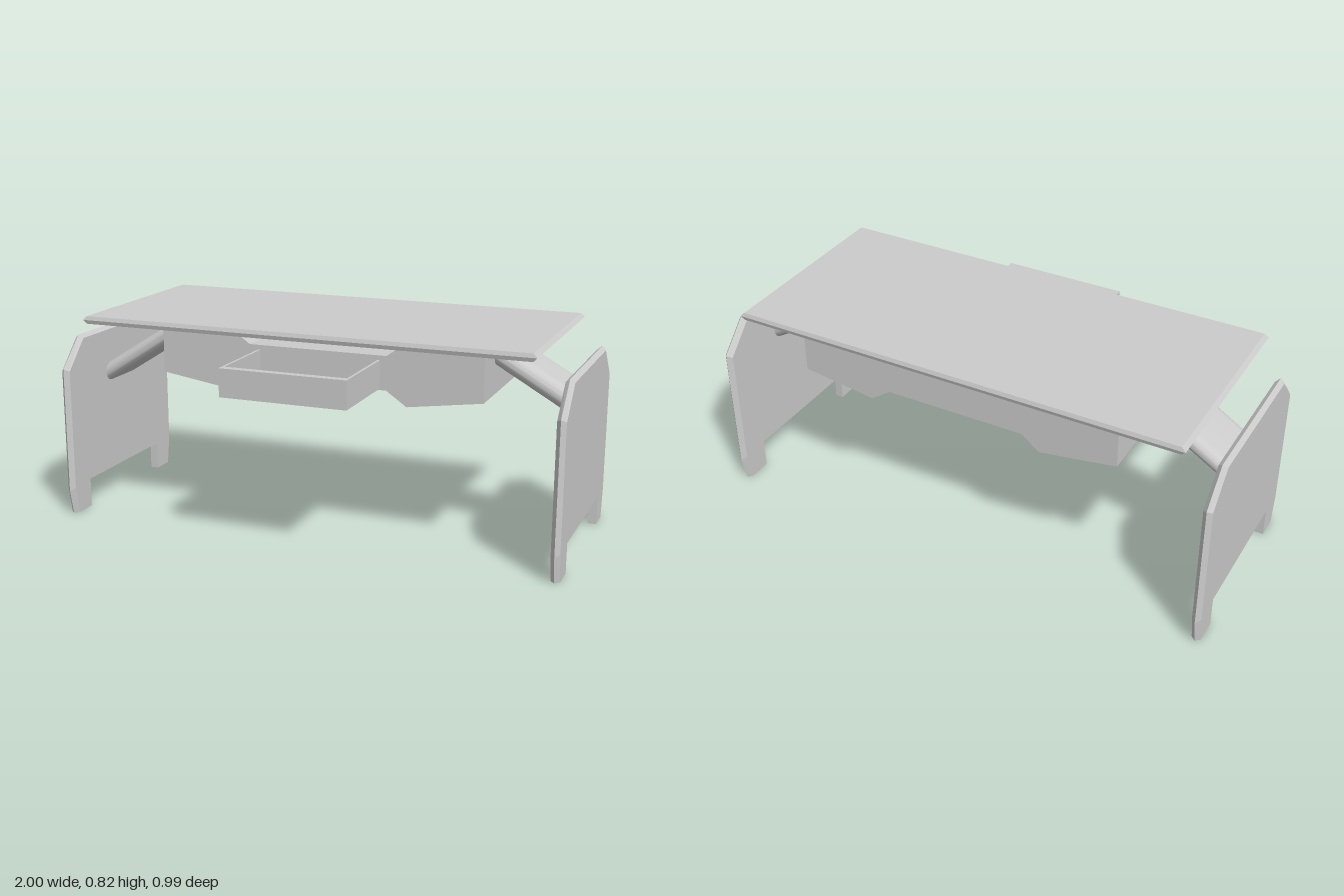
import * as THREE from 'three';
import { toCreasedNormals } from 'three/addons/utils/BufferGeometryUtils.js';

const material = new THREE.MeshStandardMaterial({ color: 0xcccccc });

function add(parent, name, geometry, x = 0, y = 0, z = 0) {
  const mesh = new THREE.Mesh(geometry, material);
  mesh.name = name;
  mesh.position.set(x, y, z);
  parent.add(mesh);
  return mesh;
}

// Flat plate in the xy plane with a ridge edge: the widest outline lies at
// mid thickness, the smaller face outline on both sides.
function ridgedPlate(ridge, face, thickness) {
  const contour = face.map(([x, y]) => new THREE.Vector2(x, y));
  if (THREE.ShapeUtils.isClockWise(contour)) {
    contour.reverse();
    ridge = [...ridge].reverse();
    face = [...face].reverse();
  }
  const n = face.length, h = thickness / 2;
  const positions = [], index = [];
  [[face, -h], [ridge, 0], [face, h]].forEach(([ring, w]) =>
    ring.forEach(([x, y]) => positions.push(x, y, w)));
  for (let r = 0; r < 2; r++) {
    for (let i = 0; i < n; i++) {
      const j = (i + 1) % n, a = r * n + i, b = r * n + j;
      index.push(a, b, b + n, a, b + n, a + n);
    }
  }
  for (const [a, b, c] of THREE.ShapeUtils.triangulateShape(contour, [])) {
    index.push(a + 2 * n, b + 2 * n, c + 2 * n, c, b, a);
  }
  const geometry = new THREE.BufferGeometry();
  geometry.setAttribute('position', new THREE.Float32BufferAttribute(positions, 3));
  geometry.setIndex(index);
  return toCreasedNormals(geometry, 0.1);
}

// Flattened round arm running outwards along +x and sloping down
function slopedArm(length, drop, width, height) {
  const r = height / 2, s = width / 2 - r;
  const section = new THREE.Shape();
  section.absarc(s, 0, r, -Math.PI / 2, Math.PI / 2, false);
  section.absarc(-s, 0, r, Math.PI / 2, Math.PI * 1.5, false);
  section.closePath();
  const geometry = new THREE.ExtrudeGeometry(section, { depth: length, bevelEnabled: false, curveSegments: 14 });
  geometry.rotateY(Math.PI / 2);
  const p = geometry.attributes.position;
  for (let i = 0; i < p.count; i++) p.setY(i, p.getY(i) - drop * p.getX(i) / length);
  return toCreasedNormals(geometry, 0.6);
}

export function createModel() {
  const desk = new THREE.Group();
  desk.name = 'desk';

  // Table top
  const rect = (x, z) => [[-x, -z], [x, -z], [x, z], [-x, z]];
  const top = ridgedPlate(rect(0.89, 0.395), rect(0.875, 0.39), 0.03);
  top.rotateX(-Math.PI / 2);
  add(desk, 'tableTop', top, 0, 0.802, -0.09);

  // Storage body under the top, with two deep ends and a slim middle
  const outline = [
    [-0.62, 0.787], [-0.62, 0.59], [-0.32, 0.545], [-0.25, 0.6], [0.3, 0.6], [0.38, 0.545],
    [0.67, 0.587], [0.67, 0.787], [0.38, 0.787], [0.3, 0.73], [-0.25, 0.73], [-0.33, 0.787],
  ].map(([x, y]) => new THREE.Vector2(x, y));
  const body = new THREE.ExtrudeGeometry(new THREE.Shape(outline), { depth: 0.56, bevelEnabled: false });
  add(desk, 'storageBody', body, 0, 0, -0.4);

  // Open drawer pulled out of the body
  const drawer = new THREE.Group();
  drawer.name = 'drawer';
  desk.add(drawer);
  const midX = 0.03, width = 0.49, low = 0.605, high = 0.712, back = 0.1, front = 0.495;
  const midY = (low + high) / 2, midZ = (back + front) / 2, depth = front - back;
  add(drawer, 'drawerFloor', new THREE.BoxGeometry(width - 0.02, 0.015, depth - 0.03), midX, low + 0.0075, midZ - 0.015);
  add(drawer, 'drawerFront', new THREE.BoxGeometry(width, high - low, 0.03), midX, midY, front - 0.015);
  for (const side of [-1, 1]) {
    add(drawer, side > 0 ? 'drawerLeftWall' : 'drawerRightWall',
      new THREE.BoxGeometry(0.01, high - low, depth - 0.03), midX + side * (width / 2 - 0.005), midY, midZ - 0.015);
  }

  // Side panels with cut corners and two feet; points are [z, y]
  const feet = [[-0.365, 0], [-0.365, 0.115], [0.19, 0.115], [0.19, 0]];
  const ridge = [[0.297, 0], [0.318, 0.1], [0.318, 0.6], [0.2, 0.716], [-0.38, 0.716],
    [-0.493, 0.6], [-0.493, 0.1], [-0.473, 0], ...feet];
  const face = [[0.28, 0], [0.3, 0.11], [0.3, 0.588], [0.19, 0.702], [-0.365, 0.702],
    [-0.476, 0.588], [-0.476, 0.11], [-0.457, 0], ...feet];
  const flip = (points) => points.map(([z, y]) => [-z, y]);
  const panel = ridgedPlate(flip(ridge), flip(face), 0.034);
  panel.rotateY(Math.PI / 2);
  add(desk, 'leftSidePanel', panel, 0.983);
  add(desk, 'rightSidePanel', panel, -0.983);

  // Arms joining the body to the side panels
  add(desk, 'leftArm', slopedArm(0.305, 0.174, 0.245, 0.09), 0.665, 0.741, -0.0925);
  const rightArm = add(desk, 'rightArm', slopedArm(0.355, 0.222, 0.245, 0.078), -0.615, 0.748, -0.0925);
  rightArm.rotation.y = Math.PI;

  return desk;
}
